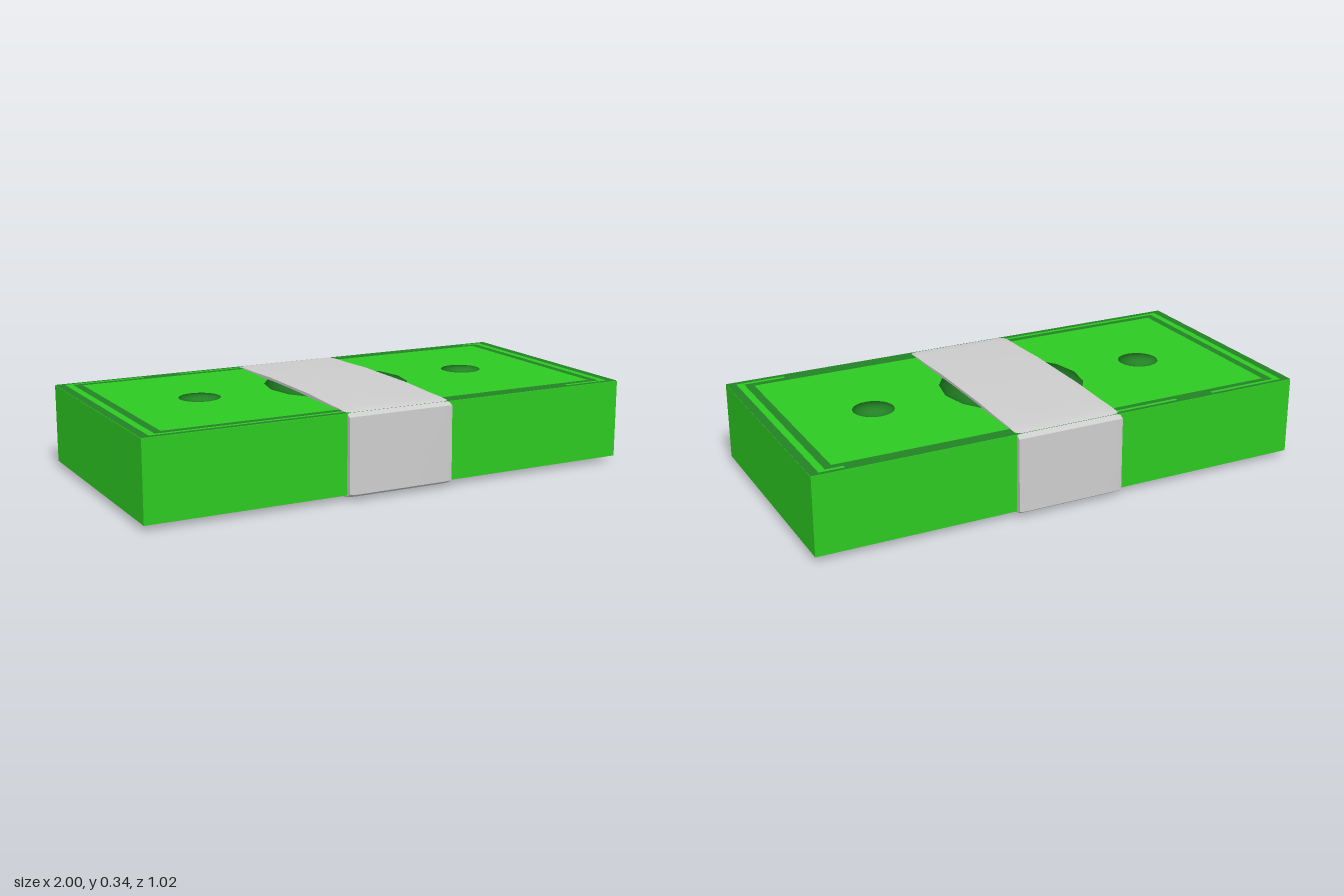
import * as THREE from 'three';
import { toCreasedNormals } from 'three/addons/utils/BufferGeometryUtils.js';

const TOP = 0.327;

function material(name, color) {
  const m = new THREE.MeshStandardMaterial({ color });
  m.name = name;
  return m;
}

// Rectangle outline given in x and z; shapes are laid flat with y = -z
function rect(Path, x, z0, z1, xStart = -x) {
  return new Path([[xStart, -z1], [x, -z1], [x, -z0], [xStart, -z0]].map(p => new THREE.Vector2(...p)));
}

function flat(shape, y) {
  return new THREE.ShapeGeometry(shape).rotateX(-Math.PI / 2).translate(0, y, 0);
}

// Very shallow printed disc that keeps the rounded normals of a dome
function shallowDome(radius, sides, height) {
  const g = new THREE.SphereGeometry(radius, sides, 8, 0, Math.PI * 2, 0, Math.PI / 2);
  const p = g.attributes.position;
  for (let i = 0; i < p.count; i++) p.setY(i, p.getY(i) * height / radius);
  return g;
}

export function createModel() {
  const group = new THREE.Group();
  const green = material('note green', 0x2dc922);
  const dark = material('print dark green', 0x228224);
  const paper = material('band grey', 0xcccccc);
  const add = (name, geometry, mat, x = 0, y = 0, z = 0) => {
    const mesh = new THREE.Mesh(geometry, mat);
    mesh.name = name;
    mesh.position.set(x, y, z);
    group.add(mesh);
  };

  // Stack of notes
  add('noteStack', new THREE.BoxGeometry(2, TOP - 0.021, 0.963), green, 0, (TOP + 0.021) / 2, -0.003);

  // Printed border: outer and inner frame
  const frames = [
    ['outerBorder', [1, -0.4845, 0.4785], [0.965, -0.468, 0.457]],
    ['innerBorder', [0.937, -0.453, 0.441], [0.905, -0.428, 0.413]],
  ];
  for (const [name, outer, inner] of frames) {
    const shape = rect(THREE.Shape, ...outer);
    shape.holes.push(rect(THREE.Path, ...inner));
    add(name, flat(shape, TOP + 0.0015), dark);
  }

  // Stretches where the two frames merge
  for (const [x0, x1, z0, z1] of [[-0.64, -0.48, -0.468, -0.453], [0.2, 0.87, -0.468, -0.453], [0.2, 0.77, 0.441, 0.457]]) {
    add('borderFill', flat(rect(THREE.Shape, x1, z0, z1, x0), TOP + 0.0015), dark);
  }

  // Printed medallion and side dots
  add('medallion', shallowDome(0.284, 16, 0.005), dark, 0, TOP, -0.02);
  for (const side of [-1, 1]) add('dot', shallowDome(0.08, 32, 0.003), dark, side * 0.582, TOP, -0.02);

  // Paper band: half profile in z and y, mirrored, then extruded along x
  const half = [[0.41, 0.002], [0.46, 0.008], [0.49, 0.017], [0.507, 0.028], [0.503, 0.316],
    [0.485, 0.325], [0.46, 0.331], [0.42, 0.334], [0.32, 0.336], [0.17, 0.342]];
  const outline = [...half, ...half.map(([z, y]) => [-z, y]).reverse()];
  const bandShape = new THREE.Shape(outline.map(([z, y]) => new THREE.Vector2(z, y)));
  const band = new THREE.ExtrudeGeometry(bandShape, {
    depth: 0.373, bevelEnabled: true, bevelThickness: 0.03, bevelSize: 0.004, bevelOffset: -0.002, bevelSegments: 2,
  });
  band.translate(0, 0, -0.1865).rotateY(-Math.PI / 2);
  add('paperBand', toCreasedNormals(band, 0.6), paper, 0, 0, -0.003);

  return group;
}
